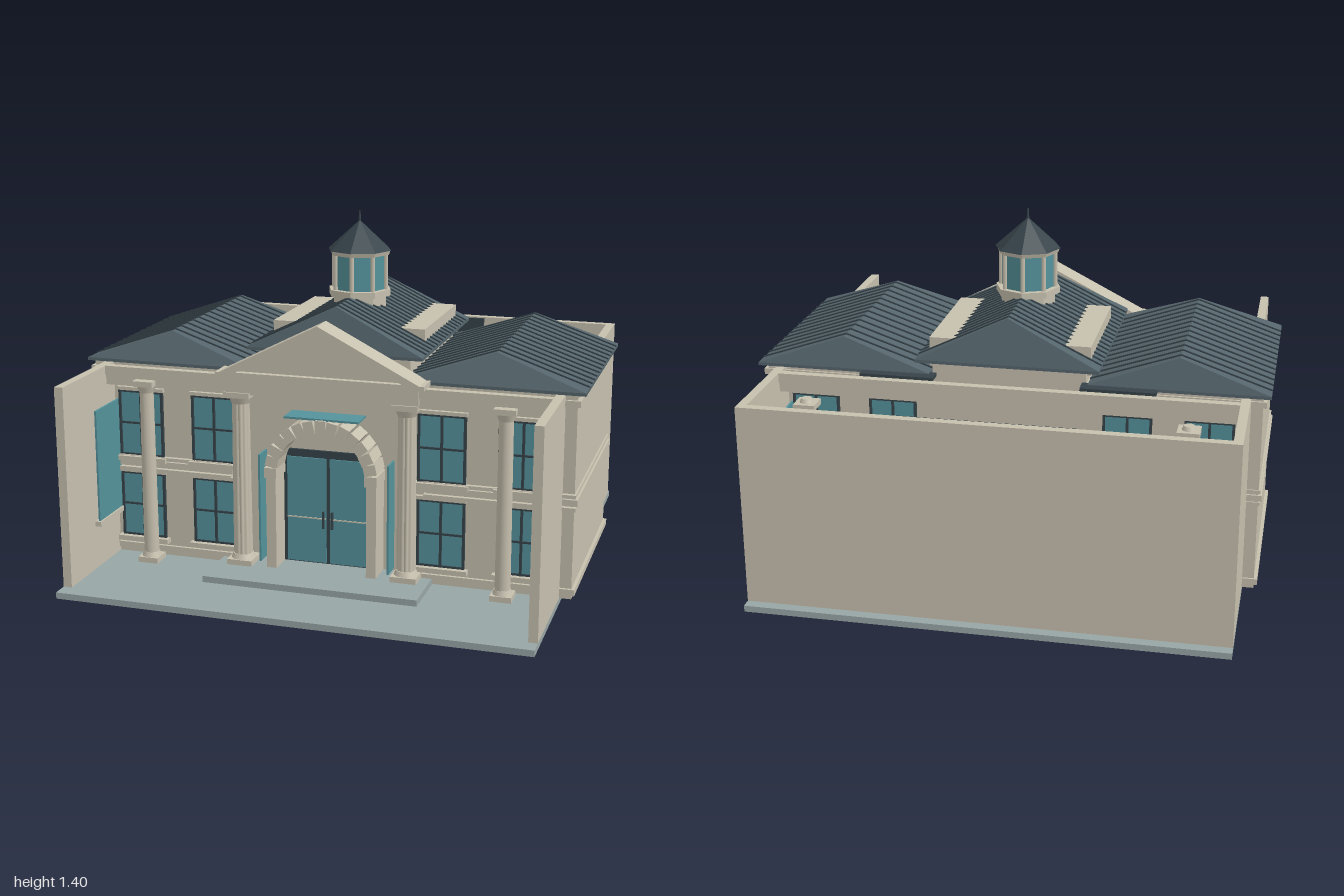
import * as THREE from 'three';
import { ConvexGeometry } from 'three/addons/geometries/ConvexGeometry.js';

const mat = (name, color, extra = {}) => Object.assign(new THREE.MeshStandardMaterial({ color, ...extra }), { name });

export function createModel() {
  const stone = mat('stone', 0xc6c0ae);
  const slate = mat('slate', 0x55656c);
  const dark = mat('dark trim', 0x364349);
  const glass = mat('teal glass', 0x55929b);
  const paving = mat('paving', 0x98a5a5);
  const model = new THREE.Group();

  const add = (name, geo, m, parent = model) => {
    const mesh = new THREE.Mesh(geo, m);
    mesh.name = name;
    parent.add(mesh);
    return mesh;
  };
  // Box given by its limits on each axis
  const box = (name, m, x0, x1, y0, y1, z0, z1, parent = model) => {
    const b = add(name, new THREE.BoxGeometry(x1 - x0, y1 - y0, z1 - z0), m, parent);
    b.position.set((x0 + x1) / 2, (y0 + y1) / 2, (z0 + z1) / 2);
    return b;
  };
  const cyl = (name, m, rt, rb, y0, y1, x, z, sides, parent = model) => {
    const c = add(name, new THREE.CylinderGeometry(rt, rb, y1 - y0, sides), m, parent);
    c.position.set(x, (y0 + y1) / 2, z);
    return c;
  };

  // Ground, steps and courtyard walls
  box('base', paving, -0.925, 0.925, 0, 0.025, -0.928, 0.928);
  box('entranceStep', paving, -0.43, 0.43, 0.025, 0.05, 0.39, 0.665);
  box('backWall', stone, -0.925, 0.925, 0.025, 0.82, -0.887, -0.853);
  box('backWallPanel', dark, -0.34, 0.34, 0.1, 0.815, -0.853, -0.838);
  for (const s of [-1, 1]) {
    const w = s * 0.9075;
    box('sideWall', stone, w - 0.0175, w + 0.0175, 0.025, 0.82, -0.853, 0.865);
    for (const z of [0.5, -0.52]) {
      box('sideWindow', glass, s * 0.876 - 0.004, s * 0.876 + 0.004, 0.2, 0.67, z - 0.135, z + 0.135);
      box('sideWindowSill', stone, s * 0.88 - 0.015, s * 0.88 + 0.015, 0.2, 0.22, z - 0.145, z + 0.145);
    }
  }

  // Main block with a slightly recessed centre
  box('centreBlock', stone, -0.4, 0.4, 0.025, 0.82, -0.41, 0.39);
  for (const s of [-1, 1]) {
    const wing = new THREE.Group();
    wing.name = 'wing';
    model.add(wing);
    const c = s * 0.685;
    box('wingBlock', stone, c - 0.285, c + 0.285, 0.025, 0.82, -0.41, 0.425, wing);
    for (const y of [0.055, 0.41, 0.79])
      box('floorBand', stone, c - 0.298, c + 0.298, y - 0.012, y + 0.012, -0.418, 0.437, wing);
    for (const y of [0.385, 0.435])
      box('stringCourse', stone, c - 0.292, c + 0.292, y - 0.007, y + 0.007, -0.415, 0.443, wing);
  }

  // Windows, front and back
  const addWindow = (x, y, side) => {
    const g = new THREE.Group();
    g.name = 'window';
    box('pane', glass, -0.093, 0.093, 0, 0.27, 0, 0.006, g);
    for (const u of [-0.09, 0, 0.09]) box('mullion', dark, u - 0.005, u + 0.005, 0, 0.27, 0, 0.013, g);
    for (const v of [0.004, 0.135, 0.265]) box('glazingBar', dark, -0.093, 0.093, v - 0.004, v + 0.004, 0, 0.011, g);
    box('sill', stone, -0.108, 0.108, -0.02, 0, 0, 0.032, g);
    box('lintel', stone, -0.1, 0.1, 0.27, 0.284, 0, 0.018, g);
    g.position.set(x, y, side > 0 ? 0.424 : -0.409);
    if (side < 0) g.rotation.y = Math.PI;
    model.add(g);
  };
  for (const x of [-0.775, -0.462, 0.462, 0.775])
    for (const y of [0.1, 0.44])
      for (const side of [1, -1]) addWindow(x, y, side);

  // Cornice beams and plain columns
  for (const z of [0.49, -0.5]) {
    box('corniceBeam', stone, -0.89, 0.89, 0.785, 0.822, z - 0.016, z + 0.016);
    box('corniceMoulding', stone, -0.89, 0.89, 0.745, 0.785, z - 0.008, z + 0.008);
  }
  const column = (x, z, r, y0, y1, fluted) => {
    const g = new THREE.Group();
    g.name = fluted ? 'flutedColumn' : 'plainColumn';
    model.add(g);
    const w = r * 1.3;
    box('plinth', stone, x - w, x + w, y0, y0 + 0.022, z - w, z + w, g);
    cyl('footRing', stone, r, r * 1.2, y0 + 0.022, y0 + 0.04, x, z, 20, g);
    const shaft = cyl('shaft', stone, r * 0.86, r * 0.95, y0 + 0.04, y1 - 0.05, x, z, fluted ? 48 : 20, g);
    if (fluted) {
      // Push every other pair of sides inwards for the flutes
      const p = shaft.geometry.attributes.position;
      for (let i = 0; i < p.count; i++) {
        const k = 1 - 0.06 * (1 + Math.cos(12 * Math.atan2(p.getX(i), p.getZ(i))));
        p.setX(i, p.getX(i) * k);
        p.setZ(i, p.getZ(i) * k);
      }
      shaft.geometry.computeVertexNormals();
    }
    cyl('capitalRing', stone, r * 1.2, r * 0.9, y1 - 0.05, y1 - 0.022, x, z, 20, g);
    box('capital', stone, x - w, x + w, y1 - 0.022, y1, z - w, z + w, g);
  };
  for (const s of [-1, 1]) {
    column(s * 0.72, 0.493, 0.032, 0.025, 0.775, false);
    column(s * 0.72, -0.68, 0.032, 0.025, 0.78, false);
    cyl('columnBall', stone, 0.02, 0.027, 0.78, 0.795, s * 0.72, -0.68, 16);
    column(s * 0.335, 0.465, 0.04, 0.05, 0.755, true);
  }

  // Double door
  box('doorFrame', dark, -0.19, 0.19, 0.05, 0.515, 0.388, 0.4);
  for (const s of [-1, 1]) {
    box('doorLeaf', glass, s * 0.088 - 0.08, s * 0.088 + 0.08, 0.055, 0.485, 0.4, 0.406);
    box('doorHandle', dark, s * 0.018 - 0.004, s * 0.018 + 0.004, 0.2, 0.27, 0.406, 0.416);
    box('doorRail', stone, s * 0.088 - 0.08, s * 0.088 + 0.08, 0.236, 0.241, 0.405, 0.409);
    box('sidelight', glass, s * 0.262 - 0.004, s * 0.262 + 0.004, 0.06, 0.5, 0.39, 0.47);
    box('archPier', stone, s * 0.203 - 0.02, s * 0.203 + 0.02, 0.05, 0.45, 0.39, 0.5);
  }
  // Arch of separate stones
  const arch = new THREE.Group();
  arch.name = 'doorArch';
  model.add(arch);
  const count = 15;
  for (let i = 0; i < count; i++) {
    const a = Math.PI * i / (count - 1);
    const b = add('archStone', new THREE.BoxGeometry(0.05, 0.042, i % 2 ? 0.11 : 0.12), stone, arch);
    b.position.set(Math.cos(a) * 0.203, 0.44 + Math.sin(a) * 0.2, 0.447);
    b.rotation.z = a;
  }
  box('archCap', glass, -0.15, 0.15, 0.662, 0.67, 0.39, 0.49);

  // Entablature and pediment
  box('entablature', stone, -0.39, 0.39, 0.755, 0.82, 0.39, 0.51);
  box('pedimentBase', stone, -0.415, 0.415, 0.82, 0.837, 0.42, 0.53);
  const triangle = (w, y0, y1) => new THREE.Shape([[-w, y0], [w, y0], [0, y1]].map(p => new THREE.Vector2(...p)));
  const extrude = (name, shape, z0, z1) => {
    const m = add(name, new THREE.ExtrudeGeometry(shape, { depth: z1 - z0, bevelEnabled: false }), stone);
    m.position.z = z0;
  };
  extrude('tympanum', triangle(0.385, 0.83, 1.025), 0.43, 0.505);
  const rake = triangle(0.415, 0.828, 1.04);
  rake.holes.push(triangle(0.33, 0.839, 1.008));
  extrude('rakingCornice', rake, 0.42, 0.53);

  // Roofs: ridge along z with steep hipped ends and standing seams
  const roof = (name, cx, half, y0, y1, z0, z1, r0, r1, seams) => {
    const g = new THREE.Group();
    g.name = name;
    g.position.x = cx;
    model.add(g);
    const pts = [new THREE.Vector3(0, y1, r0), new THREE.Vector3(0, y1, r1)];
    for (const x of [-half, half])
      for (const z of [z0, z1])
        for (const y of [y0, y0 - 0.012]) pts.push(new THREE.Vector3(x, y, z));
    add('roofSlopes', new ConvexGeometry(pts), slate, g);
    const angle = Math.atan2(y1 - y0, half);
    for (let i = 0; i < seams; i++) {
      const z = r0 + (r1 - r0) * (i + 0.5) / seams;
      for (const s of [-1, 1]) {
        const b = add('seam', new THREE.BoxGeometry(Math.hypot(half, y1 - y0), 0.008, 0.007), dark, g);
        b.position.set(s * half / 2, (y0 + y1) / 2 + 0.001, z);
        b.rotation.z = -s * angle;
      }
    }
  };
  roof('centreRoof', 0, 0.357, 0.897, 1.07, -0.465, 0.335, -0.42, 0.295, 16);
  for (const s of [-1, 1]) {
    roof('wingRoof', s * 0.655, 0.345, 0.832, 0.95, -0.435, 0.43, -0.4, 0.37, 13);
    box('roofParapet', stone, s * 0.265 - 0.05, s * 0.265 + 0.05, 0.85, 0.966, -0.39, 0.135);
    box('backEaves', dark, s * 0.43 - 0.145, s * 0.43 + 0.145, 0.815, 0.83, -0.475, -0.41);
  }
  box('centreAttic', stone, -0.3, 0.3, 0.815, 0.89, -0.41, 0.29);

  // Cupola
  const cupola = new THREE.Group();
  cupola.name = 'cupola';
  cupola.position.z = -0.025;
  model.add(cupola);
  const flat = m => Object.assign(m.clone(), { flatShading: true, name: m.name });
  const flatStone = flat(stone), flatGlass = flat(glass), flatDark = flat(dark);
  cyl('drum', flatStone, 0.11, 0.11, 0.99, 1.065, 0, 0, 8, cupola);
  cyl('baseRing', flatStone, 0.13, 0.13, 1.062, 1.088, 0, 0, 8, cupola);
  cyl('lantern', flatGlass, 0.107, 0.107, 1.088, 1.235, 0, 0, 8, cupola);
  for (let i = 0; i < 8; i++) {
    const a = i * Math.PI / 4;
    cyl('lanternPost', stone, 0.009, 0.009, 1.088, 1.235, Math.sin(a) * 0.11, Math.cos(a) * 0.11, 8, cupola);
  }
  cyl('topRing', flatStone, 0.128, 0.122, 1.228, 1.245, 0, 0, 8, cupola);
  cyl('cupolaRoof', flatDark, 0.005, 0.132, 1.245, 1.36, 0, 0, 8, cupola);
  cyl('finial', dark, 0.003, 0.006, 1.355, 1.4, 0, 0, 8, cupola);

  return model;
}
